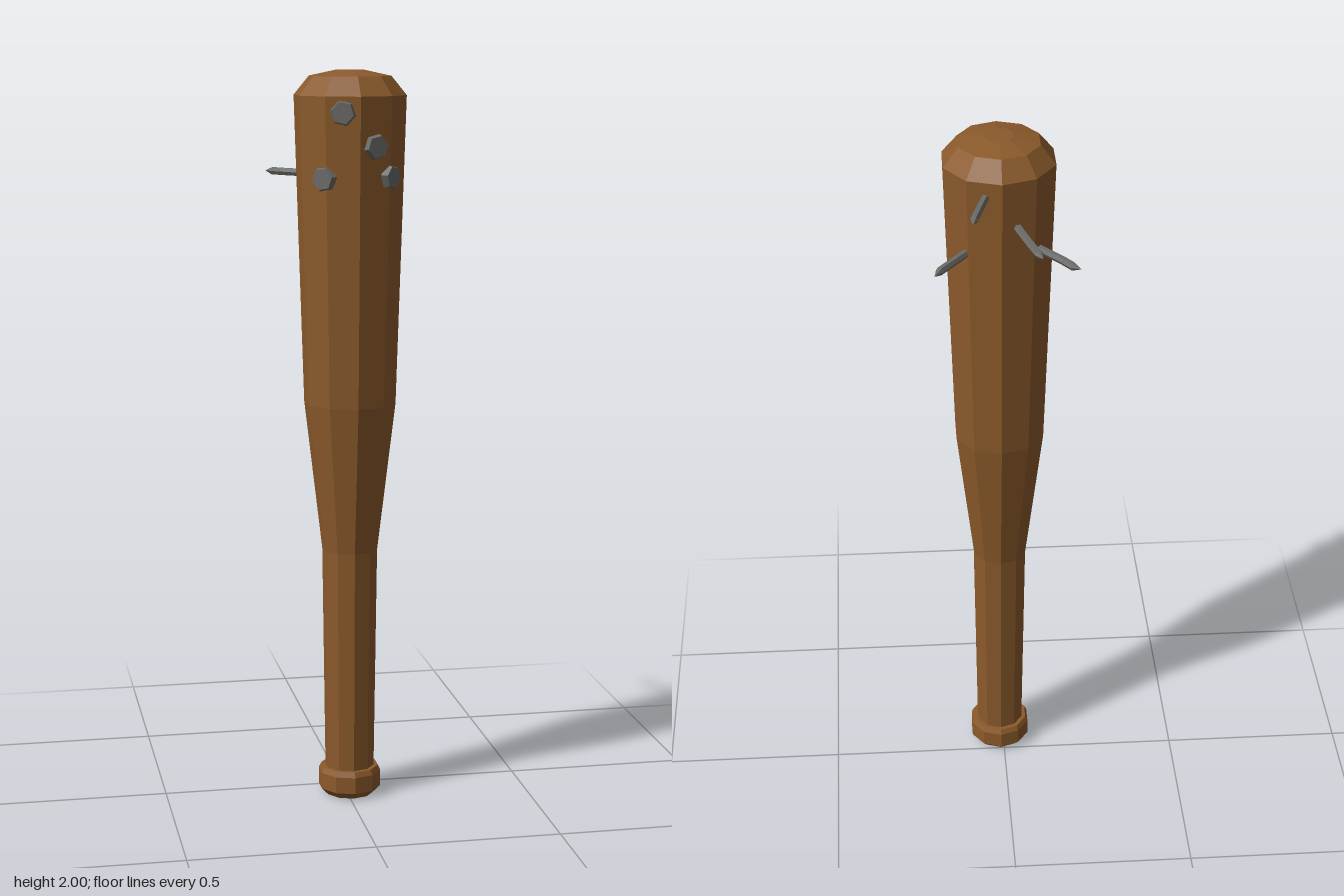
import * as THREE from 'three';

const wood = new THREE.MeshStandardMaterial({ color: 0x8b5a2b, flatShading: true });
const iron = new THREE.MeshStandardMaterial({ color: 0x6a6a68, flatShading: true });

// Hexagonal shaft swept along a level path of [x, z, radius] stations
function shaftGeometry(path, y, sides = 6) {
  const pos = [], index = [];
  path.forEach(([x, z, r], i) => {
    const a = path[Math.max(i - 1, 0)], b = path[Math.min(i + 1, path.length - 1)];
    const t = new THREE.Vector2(b[0] - a[0], b[1] - a[1]).normalize();
    for (let j = 0; j < sides; j++) {
      const ang = (j / sides) * Math.PI * 2, c = Math.cos(ang) * r;
      pos.push(x + t.y * c, y + Math.sin(ang) * r, z - t.x * c);
    }
  });
  for (let i = 0; i < path.length - 1; i++) {
    for (let j = 0; j < sides; j++) {
      const k = (j + 1) % sides, p = i * sides, q = p + sides;
      index.push(p + j, p + k, q + k, p + j, q + k, q + j);
    }
  }
  const geo = new THREE.BufferGeometry();
  geo.setAttribute('position', new THREE.Float32BufferAttribute(pos, 3));
  geo.setIndex(index);
  geo.computeVertexNormals();
  return geo;
}

// A nail driven through from the front: head, then shaft out of the back
function makeNail({ y, head, path }) {
  const nail = new THREE.Group();
  nail.name = 'nail';
  const shaft = new THREE.Mesh(shaftGeometry([[...head, 0.011], ...path], y), iron);
  shaft.name = 'nailShaft';

  const disc = new THREE.Mesh(new THREE.CylinderGeometry(0.03, 0.036, 0.018, 6), iron);
  disc.name = 'nailHead';
  disc.position.set(head[0], y, head[1]);
  const out = new THREE.Vector3(head[0] - path[0][0], 0, head[1] - path[0][1]).normalize();
  disc.quaternion.setFromUnitVectors(new THREE.Vector3(0, 1, 0), out);
  nail.add(shaft, disc);
  return nail;
}

export function createModel() {
  const model = new THREE.Group();
  model.name = 'nailedBat';

  // Bat body: knob, handle, taper, barrel and domed end as one ten-sided turning
  const profile = [
    [0, 0], [0.067, 0], [0.087, 0.02], [0.087, 0.066], [0.08, 0.08], [0.068, 0.08],
    [0.076, 0.7], [0.125, 1.11], [0.151, 1.935], [0.11, 1.985], [0.04, 2], [0, 2],
  ].map(([r, y]) => new THREE.Vector2(r, y));
  const bat = new THREE.Mesh(new THREE.LatheGeometry(profile, 10), wood);
  bat.name = 'bat';
  bat.position.set(0.01, 0, 0.07);
  model.add(bat);

  // Two straight and two bent nails
  const nails = [
    { y: 1.893, head: [-0.035, 0.209], path: [[0.053, -0.068, 0.011], [0.084, -0.173, 0.011], [0.09, -0.205, 0]] },
    { y: 1.805, head: [0.055, 0.209], path: [[-0.032, -0.068, 0.011], [-0.058, -0.157, 0.011], [-0.073, -0.203, 0.011], [-0.083, -0.227, 0]] },
    { y: 1.722, head: [-0.081, 0.181], path: [[0.11, -0.048, 0.011], [0.171, -0.125, 0.011], [0.185, -0.152, 0]] },
    { y: 1.724, head: [0.1, 0.181], path: [[-0.094, -0.034, 0.011], [-0.146, -0.096, 0.011], [-0.167, -0.126, 0.011], [-0.186, -0.141, 0]] },
  ];
  nails.forEach((n) => model.add(makeNail(n)));
  return model;
}
